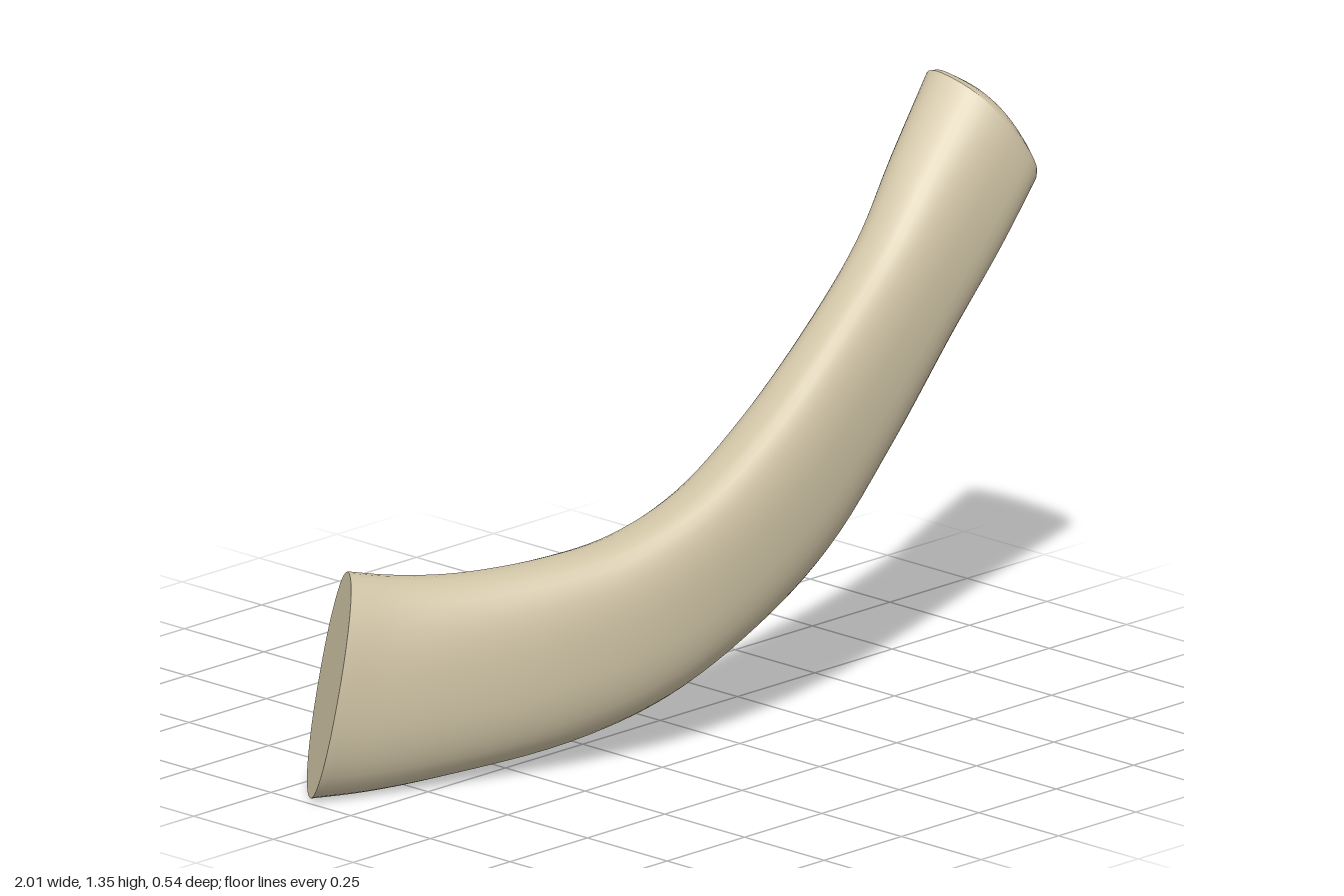
import * as THREE from 'three';

// Cross-sections along the piece: [top x,y,z], [bottom x,y,z], [half thickness x,z], roundness, skew
const SECTIONS = [
  [-0.84, 0.50, -0.16, -0.965, 0.0, -0.165, -0.08, 0.104, 0.92, 0],
  [-0.74, 0.48, -0.115, -0.85, 0.0, -0.115, -0.06, 0.104, 0.9, 0],
  [-0.60, 0.468, -0.045, -0.69, 0.01, -0.055, -0.045, 0.104, 0.86, 0],
  [-0.40, 0.48, 0.045, -0.38, 0.05, 0.06, -0.04, 0.107, 0.83, 0],
  [-0.24, 0.51, 0.105, -0.14, 0.12, 0.13, -0.03, 0.109, 0.8, 0],
  [-0.06, 0.585, 0.15, 0.10, 0.235, 0.162, -0.01, 0.107, 0.78, 0],
  [0.15, 0.715, 0.16, 0.32, 0.365, 0.162, 0, 0.108, 0.78, 0],
  [0.36, 0.875, 0.155, 0.53, 0.57, 0.162, 0, 0.098, 0.78, 0.05],
  [0.55, 1.03, 0.135, 0.73, 0.785, 0.152, 0, 0.095, 0.78, 0.1],
  [0.70, 1.185, 0.11, 0.88, 0.95, 0.142, 0, 0.103, 0.78, 0.18],
  [0.855, 1.342, 0.085, 0.99, 1.098, 0.14, 0, 0.11, 0.8, 0.25],
];
const SIDES = 40;
const STEPS = 60;

const curve = (pick) => new THREE.CatmullRomCurve3(SECTIONS.map((s) => new THREE.Vector3(...pick(s))));
const topEdge = curve((s) => s.slice(0, 3));
const bottomEdge = curve((s) => s.slice(3, 6));
// the first coordinate only spaces these points along the length
const thickness = curve((s) => [s[6], s[0], s[7]]);
const shape = curve((s) => [s[0], s[8], s[9]]);

// Rounded ring at t, optionally shrunk and pushed outward
function ring(t, scale = 1, push = 0) {
  const top = topEdge.getPoint(t);
  const bottom = bottomEdge.getPoint(t);
  const { y: roundness, z: skew } = shape.getPoint(t);
  const centre = top.clone().add(bottom).multiplyScalar(0.5);
  const half = top.clone().sub(bottom).multiplyScalar(0.5);
  const side = thickness.getPoint(t).setY(0).addScaledVector(half, -skew);
  const out = new THREE.Vector3(half.y, -half.x, 0).normalize();
  const round = (v) => Math.sign(v) * Math.abs(v) ** roundness;
  const points = [];
  for (let j = 0; j < SIDES; j++) {
    const a = (j / SIDES) * Math.PI * 2;
    points.push(centre.clone().addScaledVector(out, push)
      .addScaledVector(half, round(Math.cos(a)) * scale)
      .addScaledVector(side, round(Math.sin(a)) * scale));
  }
  return points;
}

function build(points, index) {
  const g = new THREE.BufferGeometry().setFromPoints(points);
  g.setIndex(index);
  g.computeVertexNormals();
  return g;
}

// Smooth skin through a list of rings
function loft(rings) {
  const index = [];
  for (let i = 0; i < rings.length - 1; i++) {
    for (let j = 0; j < SIDES; j++) {
      const k = (j + 1) % SIDES;
      const a = i * SIDES + j, b = i * SIDES + k;
      index.push(a, b, a + SIDES, b, b + SIDES, a + SIDES);
    }
  }
  return build(rings.flat(), index);
}

// Flat fan closing a ring
function cap(points, reversed) {
  const centre = points.reduce((s, p) => s.add(p), new THREE.Vector3()).divideScalar(SIDES);
  const index = [];
  for (let j = 0; j < SIDES; j++) {
    const k = (j + 1) % SIDES;
    index.push(SIDES, reversed ? k : j, reversed ? j : k);
  }
  return build([...points, centre], index);
}

export function createModel() {
  const group = new THREE.Group();
  group.name = 'curvedPiece';
  const tan = new THREE.MeshStandardMaterial({ color: 0xcfc3a5 });
  tan.name = 'tan';
  const add = (name, geometry) => {
    const mesh = new THREE.Mesh(geometry, tan);
    mesh.name = name;
    group.add(mesh);
  };

  const rings = [];
  for (let i = 0; i <= STEPS; i++) rings.push(ring(i / STEPS));
  add('curvedBody', loft(rings));

  // Flat slanted cut at the low end
  add('lowCutFace', cap(rings[0], true));

  // Domed face at the high end
  const dome = [[1, 0], [0.95, 0.012], [0.8, 0.024], [0.5, 0.033], [0.2, 0.036]].map(([s, p]) => ring(1, s, p));
  add('highEndDome', loft(dome));
  add('highEndCentre', cap(dome[dome.length - 1], false));
  return group;
}
